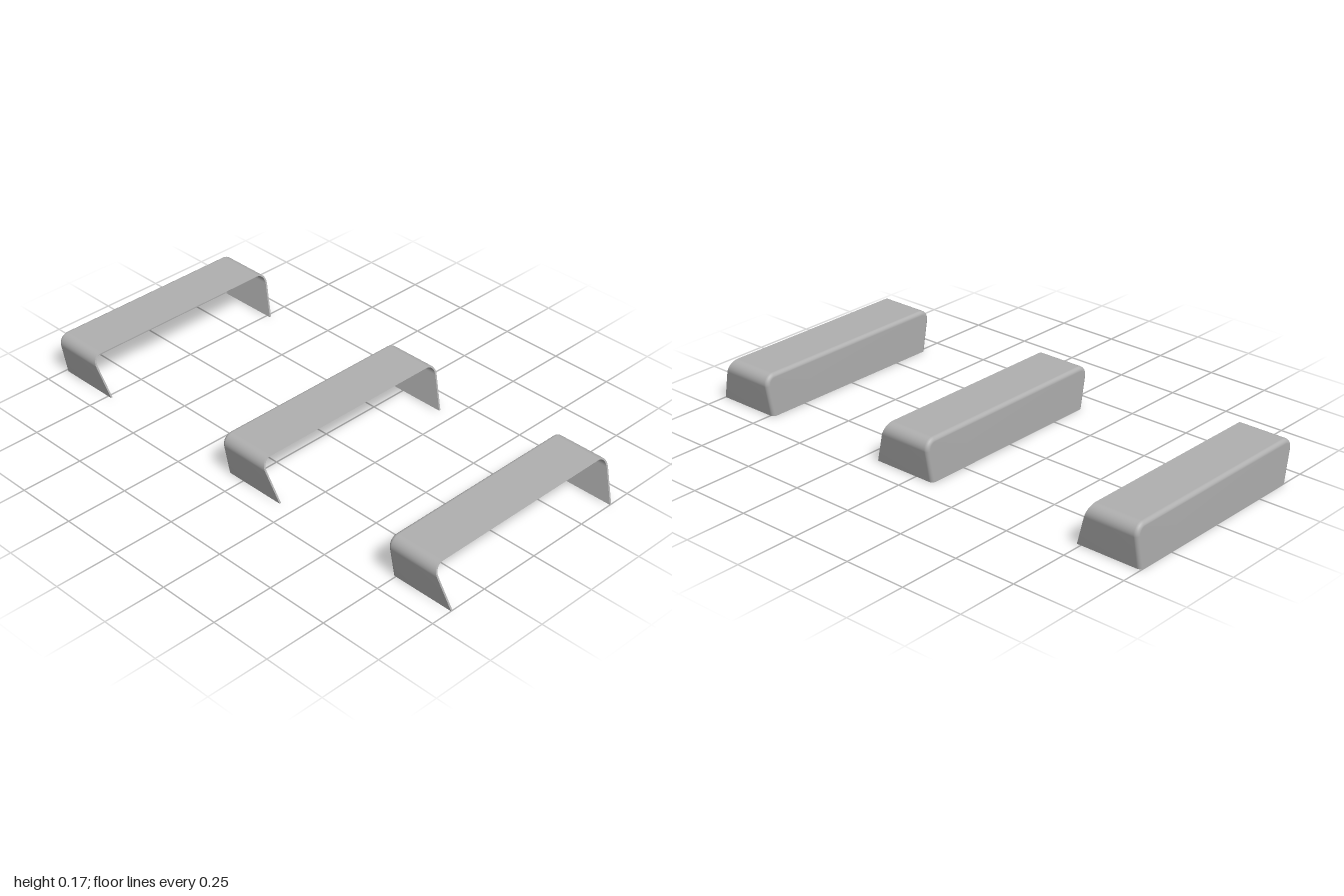
import * as THREE from 'three';

const HEIGHT = 0.173, DEPTH = 0.267, SLANT = 0.063; // cover size and front-edge rake
const CORNER = 0.04, FILLET = 0.016, WALL = 0.007;
const LEAN = 0.183; // outward lean of the end walls
const ARC = 8;

// Arch outline inset by d: up one leaning wall, round the corner, across the top and down
function arch(d) {
  const r = CORNER - d, cx = 0.396, cy = HEIGHT - CORNER, half = [];
  const tx = cx + r * Math.cos(LEAN), ty = cy - r * Math.sin(LEAN);
  half.push([tx - ty * Math.tan(LEAN), 0]);
  for (let i = 0; i <= ARC; i++) {
    const a = -LEAN + (Math.PI / 2 + LEAN) * i / ARC;
    half.push([cx + r * Math.cos(a), cy + r * Math.sin(a)]);
  }
  return [...half, ...half.slice().reverse().map(([x, y]) => [-x, y])];
}

// Rings from the raked front edge to the filleted back, closing on the middle of the bottom edge
function skin(inset) {
  const back = -DEPTH / 2 + inset, r = FILLET - inset;
  const rings = [arch(inset).map(([x, y]) => [x, y, DEPTH / 2 - SLANT * y / HEIGHT])];
  for (let i = 0; i <= 5; i++) {
    const a = i / 5 * Math.PI / 2;
    const z = back + r * (1 - Math.sin(a));
    rings.push(arch(inset + r * (1 - Math.cos(a))).map(([x, y]) => [x, y, z]));
  }
  rings.push(rings[0].map(() => [0, 0, back]));
  return rings;
}

function gridGeometry(rows, flip) {
  const n = rows[0].length, index = [];
  for (let i = 0; i < rows.length - 1; i++) {
    for (let j = 0; j < n - 1; j++) {
      const a = i * n + j, b = a + 1, c = a + n, d = c + 1;
      if (flip) index.push(a, b, c, b, d, c);
      else index.push(a, c, b, b, c, d);
    }
  }
  const g = new THREE.BufferGeometry();
  g.setAttribute('position', new THREE.Float32BufferAttribute(rows.flat(2), 3));
  g.setIndex(index);
  g.computeVertexNormals();
  return g;
}

export function createModel() {
  const model = new THREE.Group();
  model.name = 'coverSet';
  const grey = new THREE.MeshStandardMaterial({ color: 0xb0b0b0, side: THREE.DoubleSide });
  grey.name = 'grey';

  const outer = skin(0), inner = skin(WALL);
  const last = outer[0].length - 1;
  const edge = (rings, j) => rings.map(ring => ring[j]);
  const parts = {
    outerShell: gridGeometry(outer, true),
    innerShell: gridGeometry(inner, false),
    frontRim: gridGeometry([outer[0], inner[0]], false),
    leftBottomRim: gridGeometry([edge(outer, 0), edge(inner, 0)], true),
    rightBottomRim: gridGeometry([edge(outer, last), edge(inner, last)], false),
  };

  // Three identical covers in a row
  const fronts = { frontCover: 1, middleCover: 0.187, backCover: -0.733 };
  for (const [name, z] of Object.entries(fronts)) {
    const cover = new THREE.Group();
    cover.name = name;
    cover.position.z = z - DEPTH / 2;
    for (const [part, geometry] of Object.entries(parts)) {
      const mesh = new THREE.Mesh(geometry, grey);
      mesh.name = part;
      cover.add(mesh);
    }
    model.add(cover);
  }
  return model;
}
